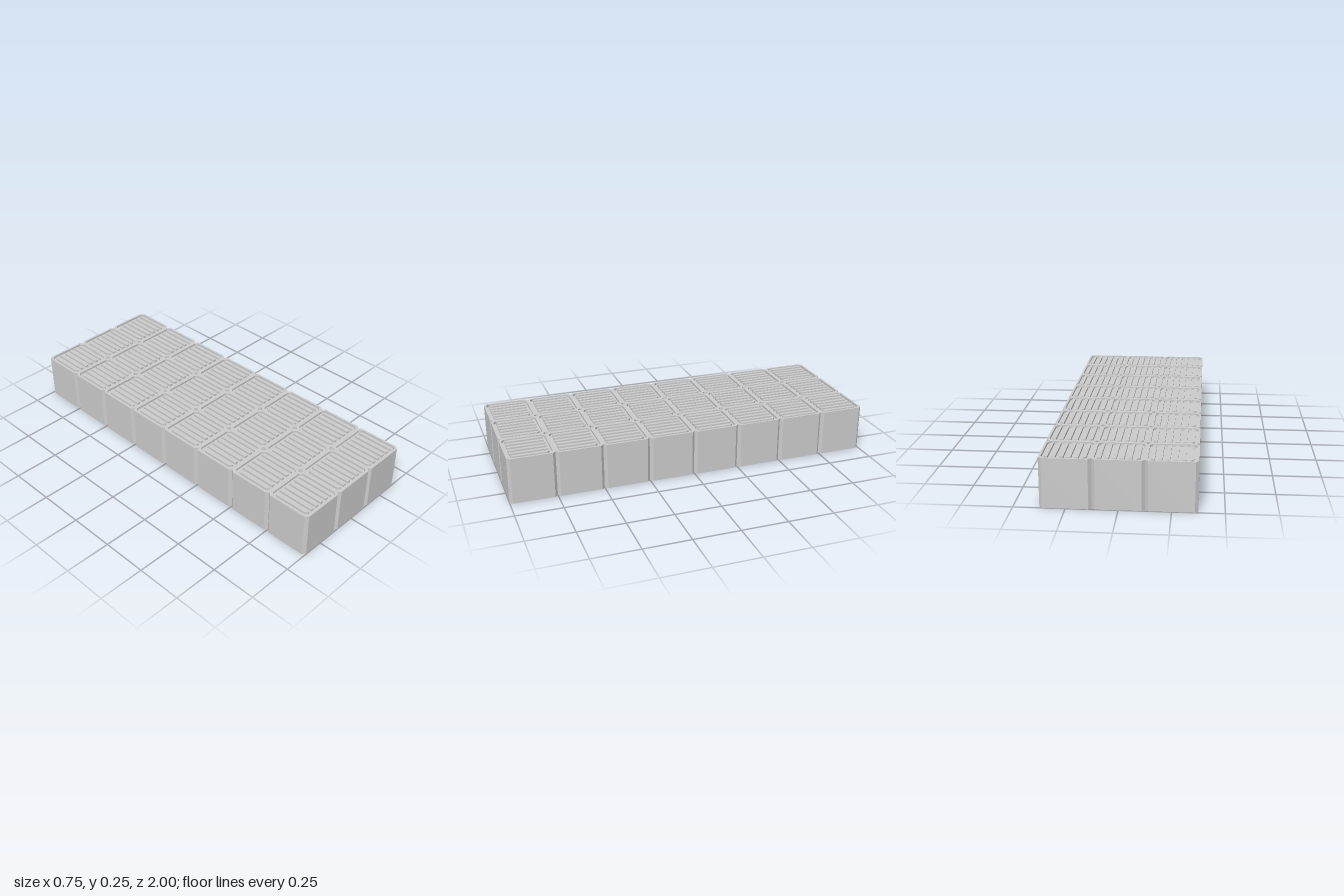
import * as THREE from 'three';

const COLS = 3, ROWS = 8, CELL = 0.25, HEIGHT = 0.25;
const CHAMFER = 0.0155, RECESS = 0.012, RIM = 0.011, BARS = 6, SPAN = 0.1;

const material = new THREE.MeshStandardMaterial({ color: 0xcccccc, flatShading: true });

// Square outline with chamfered corners
function octagon(h, c) {
  return [[h, c - h], [h, h - c], [h - c, h], [c - h, h], [-h, h - c], [-h, c - h], [c - h, -h], [h - c, -h]]
    .map(([x, y]) => new THREE.Vector2(x, y));
}

// Upright prism from y0 to y1 over a plan outline
function prism(shape, y0, y1) {
  return new THREE.ExtrudeGeometry(shape, { depth: y1 - y0, bevelEnabled: false })
    .rotateX(-Math.PI / 2).translate(0, y0, 0);
}

// Plan of a bar; the outermost bars have their outer corners cut
function barShape(x0, x1) {
  const c = CHAMFER * 0.8;
  const left = x0 < -SPAN + 1e-4 ? c : 0, right = x1 > SPAN - 1e-4 ? c : 0;
  const pts = [[x0 + left, -SPAN], [x1 - right, -SPAN]];
  if (right) pts.push([x1, c - SPAN], [x1, SPAN - c]);
  pts.push([x1 - right, SPAN], [x0 + left, SPAN]);
  if (left) pts.push([x0, SPAN - c], [x0, c - SPAN]);
  return new THREE.Shape(pts.map(([x, y]) => new THREE.Vector2(x, y)));
}

export function createModel() {
  const model = new THREE.Group();
  model.name = 'blockGrid';
  const floorY = HEIGHT - RECESS;
  const parts = [];

  // Solid block up to the recess floor
  parts.push(['block', prism(new THREE.Shape(octagon(CELL / 2, CHAMFER)), 0, floorY)]);

  // Raised rim around the recess
  const rim = new THREE.Shape(octagon(CELL / 2, CHAMFER));
  rim.holes.push(new THREE.Path(octagon(CELL / 2 - RIM, CHAMFER).reverse()));
  parts.push(['rim', prism(rim, floorY, HEIGHT)]);

  // Parallel bars standing in the recess, level with the rim
  const unit = 2 * SPAN / (2 * BARS - 1);
  for (let i = 0; i < BARS; i++) {
    const x = -SPAN + 2 * i * unit;
    parts.push(['bar', prism(barShape(x, x + unit), floorY, HEIGHT)]);
  }

  // Repeat the cell; cut corners leave diamond shafts where four cells meet
  for (let r = 0; r < ROWS; r++) {
    for (let c = 0; c < COLS; c++) {
      const cell = new THREE.Group();
      cell.name = 'cell';
      for (const [name, geometry] of parts) {
        const mesh = new THREE.Mesh(geometry, material);
        mesh.name = name;
        cell.add(mesh);
      }
      cell.position.set((c - (COLS - 1) / 2) * CELL, 0, (r - (ROWS - 1) / 2) * CELL);
      model.add(cell);
    }
  }
  return model;
}
